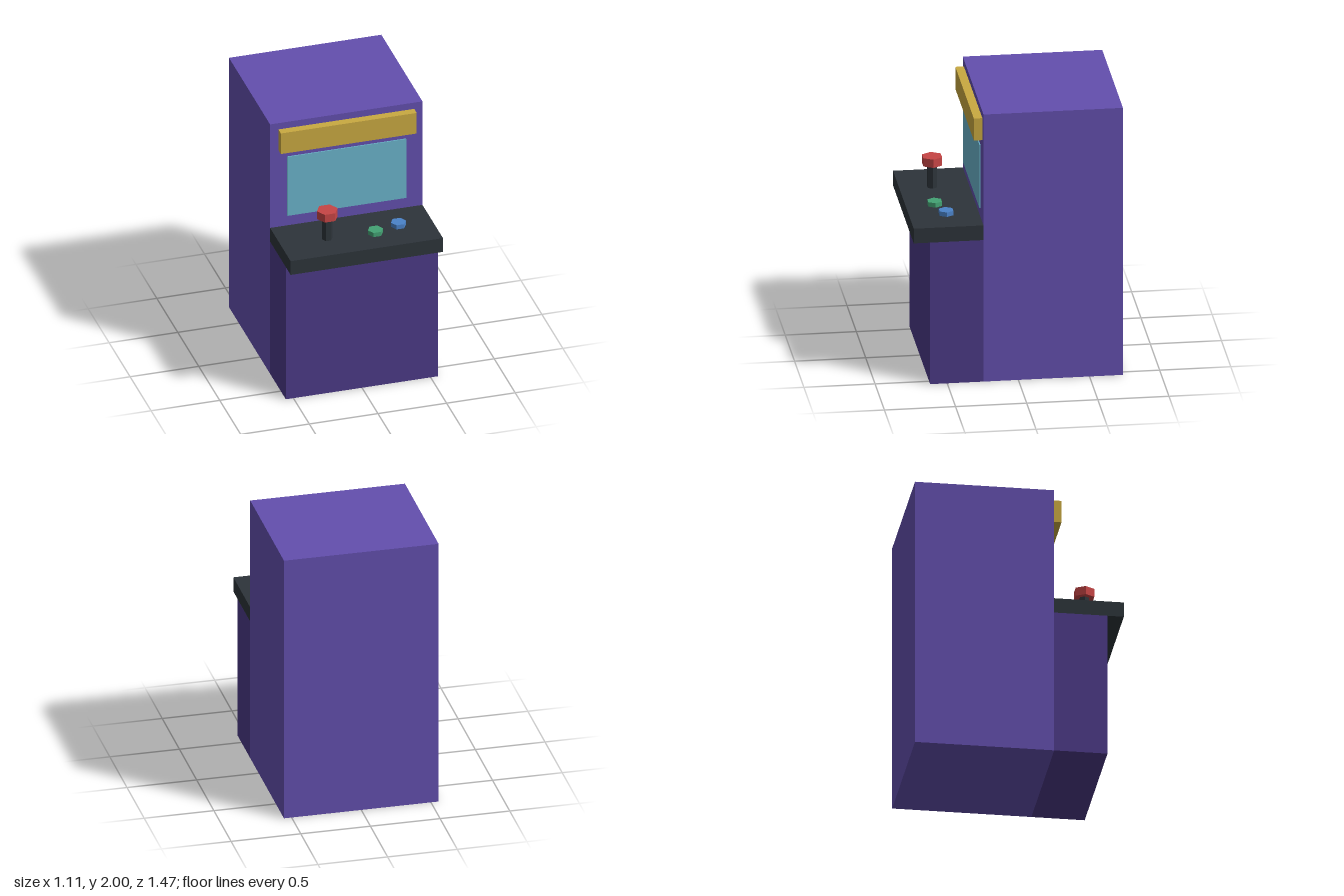
import * as THREE from 'three';

const mat = (name, color) => {
  const m = new THREE.MeshStandardMaterial({ color });
  m.name = name;
  return m;
};

export function createModel() {
  const group = new THREE.Group();
  const purple = mat('cabinet purple', 0x634fae);
  const darkPurple = mat('dark purple', 0x4c3a87);
  const charcoal = mat('charcoal', 0x2d343a);
  const yellow = mat('marquee yellow', 0xc9a941);
  const cyan = mat('screen blue', 0x6ab4cb);
  const red = mat('red', 0xc64545);
  const green = mat('green', 0x43a273);
  const blue = mat('blue', 0x4a82c8);

  const add = (name, geometry, material, x, y, z) => {
    const mesh = new THREE.Mesh(geometry, material);
    mesh.name = name;
    mesh.position.set(x, y, z);
    group.add(mesh);
  };
  // Box given by full width and its y and z ranges
  const box = (name, material, w, y0, y1, z0, z1) =>
    add(name, new THREE.BoxGeometry(w, y1 - y0, z1 - z0), material, 0, (y0 + y1) / 2, (z0 + z1) / 2);
  // Upright hexagonal prism with corners pointing along x
  const hex = (name, material, r, x, z, y0, y1) => {
    const g = new THREE.CylinderGeometry(r, r, y1 - y0, 6).rotateY(Math.PI / 6).toNonIndexed();
    g.computeVertexNormals();
    add(name, g, material, x, (y0 + y1) / 2, z);
  };

  // Cabinet
  box('cabinet', purple, 1.11, 0, 2, -0.735, 0.245);
  box('lowerFront', darkPurple, 1.11, 0, 1.06, 0.245, 0.62);
  box('controlDeck', charcoal, 1.11, 1.06, 1.17, 0.245, 0.735);
  box('marquee', yellow, 0.99, 1.785, 1.95, 0.245, 0.305);
  box('screen', cyan, 0.866, 1.253, 1.726, 0.25, 0.258);

  // Joystick
  hex('joystickShaft', charcoal, 0.037, -0.218, 0.505, 1.17, 1.34);
  hex('joystickKnob', red, 0.076, -0.218, 0.505, 1.34, 1.402);

  // Buttons
  hex('greenButton', green, 0.055, 0.124, 0.532, 1.17, 1.203);
  hex('blueButton', blue, 0.055, 0.309, 0.476, 1.17, 1.203);

  return group;
}
